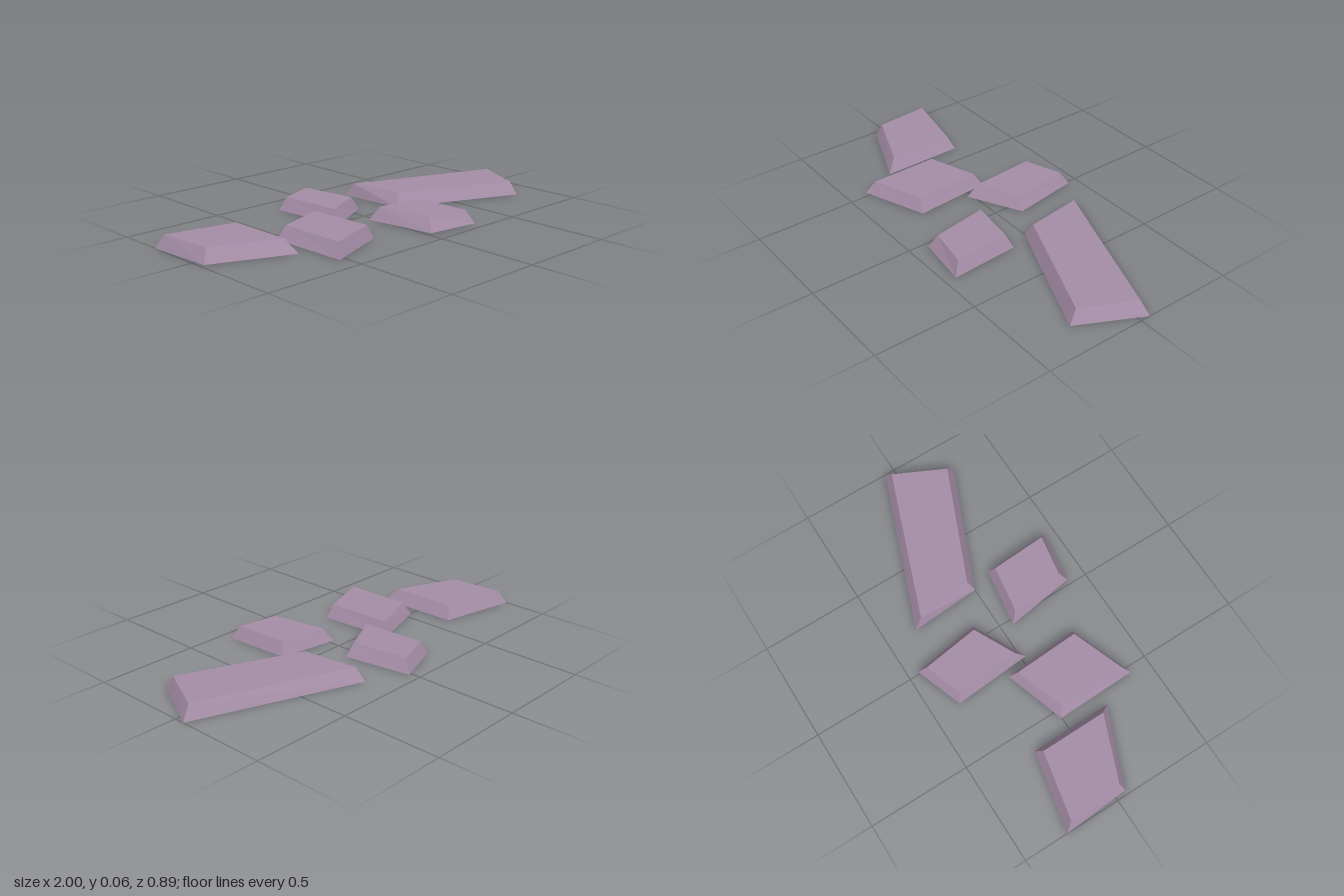
import * as THREE from 'three';

const HEIGHT = 0.065;

// Four-sided slab with bevelled sides; corners are [x, z], clockwise seen from above
function slabGeometry(base, top) {
  const points = [
    ...base.map(([x, z]) => [x, 0, z]),
    ...top.map(([x, z]) => [x, HEIGHT, z]),
  ];
  const index = [0, 1, 2, 0, 2, 3, 4, 6, 5, 4, 7, 6]; // underside, top face
  for (let i = 0; i < 4; i++) {
    const j = (i + 1) % 4;
    index.push(i, i + 4, j + 4, i, j + 4, j); // sloping side
  }
  const geometry = new THREE.BufferGeometry();
  geometry.setAttribute('position', new THREE.Float32BufferAttribute(points.flat(), 3));
  geometry.setIndex(index);
  const faceted = geometry.toNonIndexed();
  faceted.computeVertexNormals();
  return faceted;
}

// Footprint and smaller top outline of each stone
const STONES = {
  farRightStone: {
    base: [[-1, -0.275], [-0.605, -0.195], [-0.6, 0.216], [-0.98, 0.056]],
    top: [[-0.972, -0.24], [-0.638, -0.17], [-0.635, 0.163], [-0.95, 0.035]],
  },
  rightStone: {
    base: [[-0.54, -0.003], [-0.237, -0.1], [-0.21, 0.28], [-0.53, 0.4]],
    top: [[-0.505, 0.02], [-0.26, -0.063], [-0.243, 0.265], [-0.5, 0.36]],
  },
  backStone: {
    base: [[-0.225, -0.365], [0.014, -0.45], [0.067, -0.11], [-0.195, 0.024]],
    top: [[-0.195, -0.345], [-0.01, -0.41], [0.03, -0.125], [-0.173, -0.024]],
  },
  frontStone: {
    base: [[-0.027, 0.06], [0.27, 0.105], [0.29, 0.445], [0.025, 0.41]],
    top: [[0.008, 0.095], [0.243, 0.13], [0.26, 0.41], [0.055, 0.375]],
  },
  longLeftStone: {
    base: [[0.2, -0.35], [1, -0.05], [0.843, 0.26], [0.222, 0]],
    top: [[0.218, -0.305], [0.953, -0.033], [0.83, 0.218], [0.255, -0.022]],
  },
};

export function createModel() {
  const model = new THREE.Group();
  model.name = 'steppingStones';
  const material = new THREE.MeshStandardMaterial({ color: 0xa58da7 });
  material.name = 'mauve stone';

  for (const [name, { base, top }] of Object.entries(STONES)) {
    const stone = new THREE.Mesh(slabGeometry(base, top), material);
    stone.name = name;
    model.add(stone);
  }
  return model;
}
